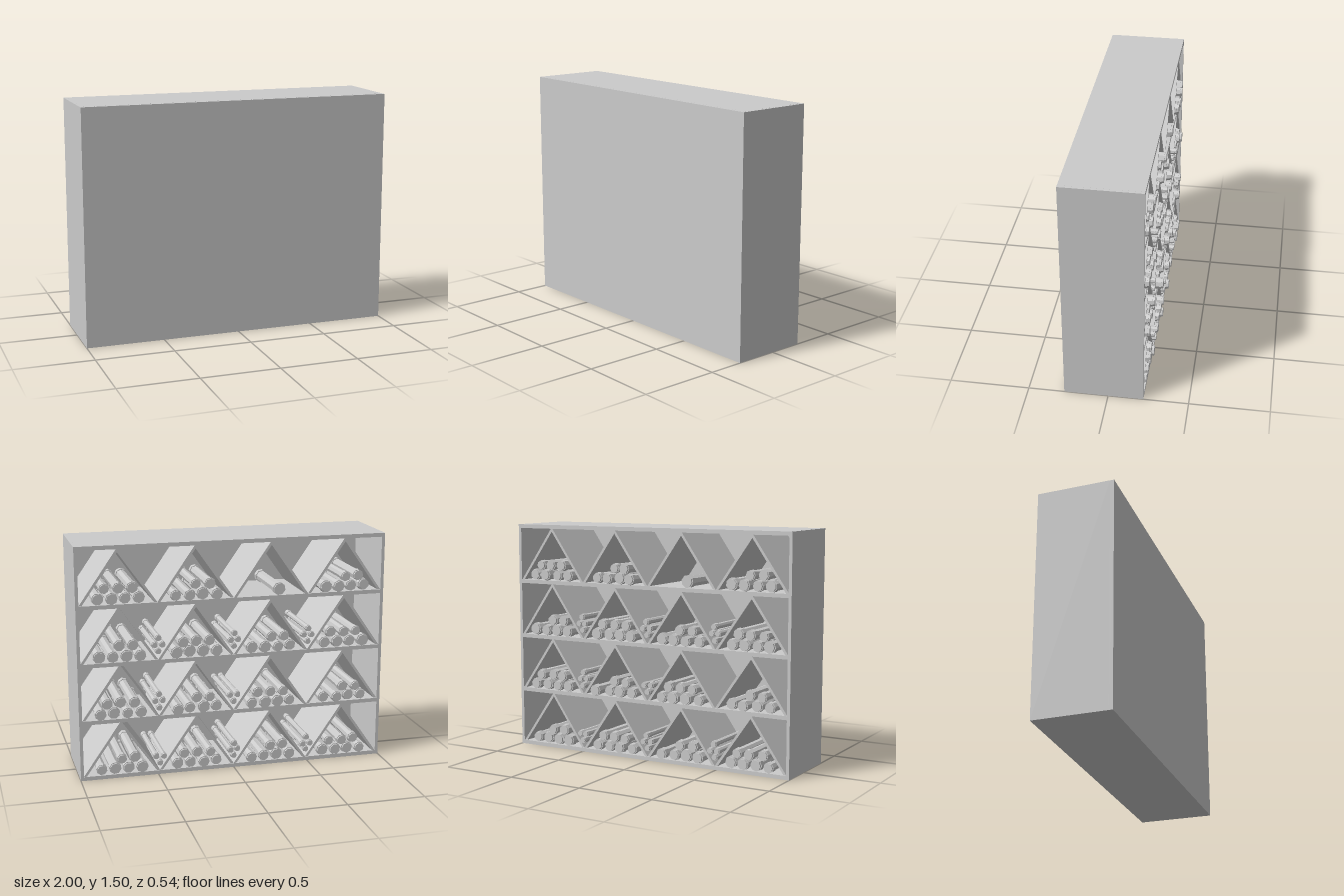
import * as THREE from 'three';

const BACK = -0.22, FRONT = 0.275, T = 0.025, PITCH = 0.3688;

export function createModel() {
  const model = new THREE.Group();
  const mat = new THREE.MeshStandardMaterial({ color: 0xcccccc, flatShading: true });
  const depth = FRONT - BACK, midZ = (FRONT + BACK) / 2;

  let seed = 7;
  const rand = () => (seed = (seed * 16807) % 2147483647) / 2147483647;

  const add = (name, geometry, x, y, z, parent = model) => {
    const mesh = new THREE.Mesh(geometry, mat);
    mesh.name = name;
    mesh.position.set(x, y, z);
    parent.add(mesh);
    return mesh;
  };

  // Case: closed front, open towards -z
  add('frontPanel', new THREE.BoxGeometry(2, 1.5, T), 0, 0.75, FRONT - T / 2);
  for (const s of [-1, 1]) {
    add('sideWall', new THREE.BoxGeometry(0.02, 1.5, depth - T), s * 0.99, 0.75, midZ - T / 2);
  }
  for (let i = 0; i < 5; i++) {
    add('shelf', new THREE.BoxGeometry(1.96, T, depth - T), 0, T / 2 + i * PITCH, midZ - T / 2);
  }

  // Tent-shaped divider, one per bay
  const h = PITCH - T;
  const tent = new THREE.Shape();
  tent.moveTo(-0.245, 0);
  tent.lineTo(-0.006, h);
  tent.lineTo(0.006, h);
  tent.lineTo(0.245, 0);
  tent.lineTo(0.226, 0);
  tent.lineTo(0, h - 0.02);
  tent.lineTo(-0.226, 0);
  tent.closePath();
  const tentGeo = new THREE.ExtrudeGeometry(tent, { depth: depth - T - 0.006, bevelEnabled: false });

  // Rolled scroll: octagonal roll with a collar near each end
  const scroll = (x, y, r, out) => {
    const z0 = BACK - out, z1 = FRONT - T - 0.02 - out * 0.5;
    const g = new THREE.Group();
    g.name = 'scroll';
    const turn = rand() * Math.PI;
    const part = (name, radius, a, b) => {
      const geo = new THREE.CylinderGeometry(radius, radius, b - a, 8);
      geo.rotateX(Math.PI / 2).rotateZ(turn);
      add(name, geo, x, y, (a + b) / 2, g);
    };
    part('roll', r * 0.86, z0, z1);
    part('collar', r, z0 + 0.012, z0 + 0.05);
    part('collar', r, z1 - 0.05, z1 - 0.012);
    model.add(g);
  };

  // Which valleys hold thin scrolls, from the bottom row up (x = -0.5, 0, 0.5)
  const valleys = [[4, 4, 3], [0, 3, 4], [4, 4, 4], [0, 0, 0]];
  const thinSpots = [[0, 0.055], [-0.024, 0.1], [0.024, 0.098], [0, 0.142]];

  for (let row = 0; row < 4; row++) {
    const y0 = T + row * PITCH;
    for (let bay = 0; bay < 4; bay++) {
      const cx = (-0.75 + bay * 0.5) * 0.98;
      add('tentDivider', tentGeo, cx, y0, BACK + 0.006);

      // Stack under the tent: four below, two or three on top
      if (row === 3 && bay === 1) {
        scroll(cx - 0.05, y0 + 0.042, 0.042, 0.012);
        continue;
      }
      for (let i = 0; i < 4; i++) {
        const r = 0.035 + rand() * 0.006;
        const far = rand() > 0.75 ? 0.045 : 0.025;
        scroll(cx + (i - 1.5) * 0.086, y0 + r, r, rand() * far);
      }
      const top = (row + bay) % 2 ? 2 : 3;
      for (let i = 0; i < top; i++) {
        const r = 0.032 + rand() * 0.005;
        scroll(cx + (i - 1) * 0.086, y0 + 0.068 + r, r, rand() * 0.025);
      }
    }
    // Thin scrolls lying in the valleys between tents
    for (let v = 0; v < 3; v++) {
      for (const [dx, dy] of thinSpots.slice(0, valleys[row][v])) {
        scroll((v - 1) * 0.49 + dx, y0 + dy, 0.021, rand() * 0.022);
      }
    }
  }
  return model;
}
